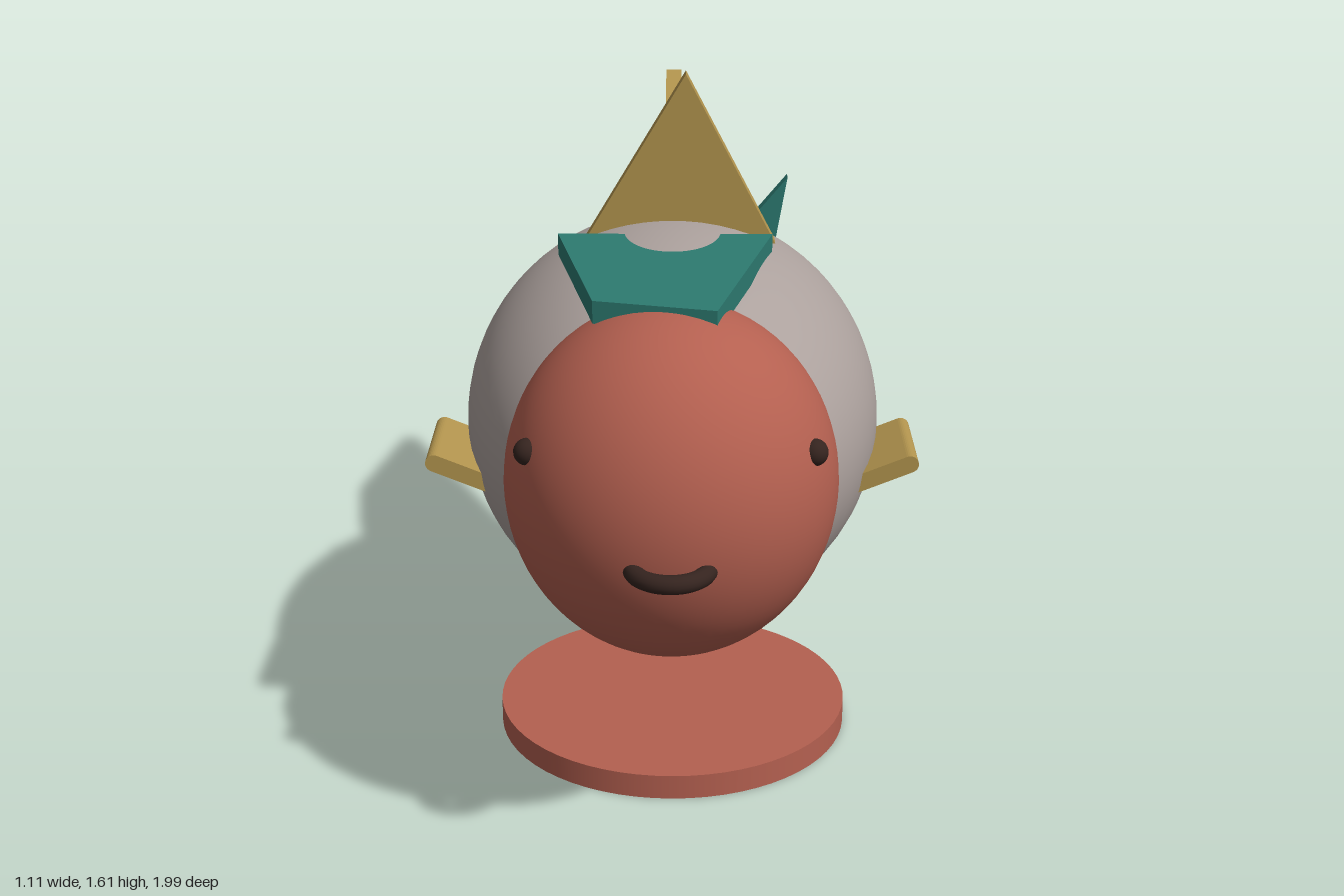
import * as THREE from 'three';

const colour = (name, hex) => {
  const m = new THREE.MeshStandardMaterial({ color: hex });
  m.name = name;
  return m;
};

export function createModel() {
  const model = new THREE.Group();
  model.name = 'fish';
  const grey = colour('warmGrey', 0xaca19d);
  const red = colour('brickRed', 0xb46050);
  const gold = colour('gold', 0xb2944e);
  const teal = colour('teal', 0x2d7b71);
  const dark = colour('darkBrown', 0x35241f);

  const add = (name, geometry, material, x = 0, y = 0, z = 0) => {
    const mesh = new THREE.Mesh(geometry, material);
    mesh.name = name;
    mesh.position.set(x, y, z);
    model.add(mesh);
    return mesh;
  };
  const ellipsoid = (rx, ry, rz) => new THREE.SphereGeometry(1, 64, 40).scale(rx, ry, rz);
  // flat plate in the xy plane, centred on its thickness
  const plate = (points, depth) => {
    const shape = new THREE.Shape(points.map(([x, y]) => new THREE.Vector2(x, y)));
    return new THREE.ExtrudeGeometry(shape, { depth, bevelEnabled: false }).translate(0, 0, -depth / 2);
  };
  // flat plate lying in the xz plane
  const flatPlate = (points, depth) =>
    plate(points.map(([x, z]) => [x, -z]), depth).rotateX(-Math.PI / 2);

  // body, head and stand
  add('body', ellipsoid(0.483, 0.446, 0.7), grey, 0, 0.815, 0.08);
  add('head', ellipsoid(0.36, 0.392, 0.345), red, 0, 0.848, 0.59);
  add('stand', new THREE.CylinderGeometry(1, 1, 0.06, 64).scale(0.425, 1, 0.407), red, 0, 0.03, 0.102);

  // mouth: half ring bulging forward, with rounded ends
  add('mouth', new THREE.TorusGeometry(0.078, 0.02, 16, 32, Math.PI).rotateX(Math.PI / 2), dark, 0, 0.78, 0.897);
  for (const s of [1, -1]) {
    add('mouthCorner', new THREE.SphereGeometry(0.02, 16, 12), dark, s * 0.078, 0.78, 0.897);
    add('eye', new THREE.SphereGeometry(0.029, 24, 16), dark, s * 0.297, 0.97, 0.74);
  }

  // side fins: thin slabs with a rounded outer edge, rising outwards
  for (const s of [1, -1]) {
    const shape = new THREE.Shape();
    shape.moveTo(-0.2, -0.02);
    shape.lineTo(0, -0.02);
    shape.absarc(0, 0, 0.02, -Math.PI / 2, Math.PI / 2, false);
    shape.lineTo(-0.2, 0.02);
    const fin = new THREE.ExtrudeGeometry(shape, { depth: 0.236, bevelEnabled: false, curveSegments: 8 });
    fin.translate(0, 0, -0.118).rotateZ(0.39);
    if (s < 0) fin.rotateY(Math.PI);
    add(s > 0 ? 'leftFin' : 'rightFin', fin, gold, s * 0.536, 0.796, 0.272);
  }

  // upright cross fin and the tall fin along the back
  add('crossFin', plate([[-0.21, 1.205], [0.24, 1.205], [0.03, 1.605]], 0.045), gold, 0, 0, 0.007);
  add('backFin', plate([[-0.5, 0.69], [-0.005, 1.372], [-0.5, 1.503], [-0.998, 1.372]], 0.038)
    .rotateY(-Math.PI / 2), gold);

  // collar plate over the head, tail and belly fin
  add('collar', flatPlate([[-0.264, 0.1], [0.23, 0.1], [0.096, 0.657], [-0.165, 0.592]], 0.05), teal, 0, 1.224, 0);
  add('tail', plate([[0, 0.81], [0.302, 0.45], [0.24, 0.81], [0.302, 1.172]], 0.04), teal, 0, 0, -0.708);
  add('bellyFin', flatPlate([[0.13, -0.2], [0.06, -0.303], [0.13, -0.303]], 0.04), teal, 0, 0.45, 0);
  return model;
}
